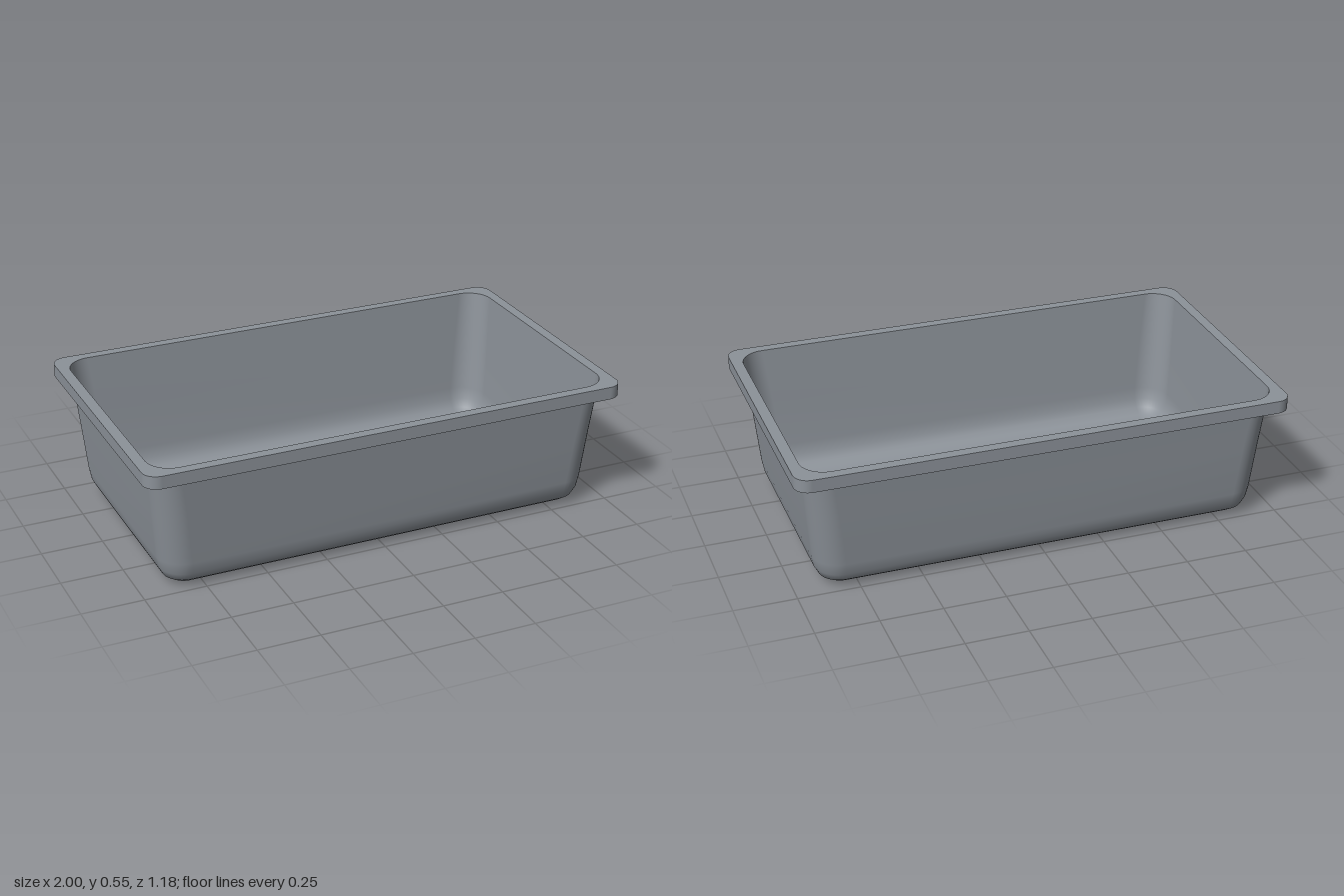
import * as THREE from 'three';

// Rounded-rectangle outline: half width, half depth, corner radius
function outline(hx, hz, r, steps = 10) {
  const pts = [];
  for (let q = 0; q < 4; q++) {
    const sx = q === 0 || q === 3 ? 1 : -1;
    const sz = q < 2 ? 1 : -1;
    for (let i = 0; i <= steps; i++) {
      const a = (q + i / steps) * Math.PI / 2;
      pts.push(new THREE.Vector2(sx * (hx - r) + r * Math.cos(a), sz * (hz - r) + r * Math.sin(a)));
    }
  }
  return pts;
}

// Smooth skin through stacked outlines [halfX, halfZ, radius, y], bottom to top
function loft(rings) {
  const pos = [], index = [];
  let n = 0;
  rings.forEach(([hx, hz, r, y], k) => {
    const pts = outline(hx, hz, r);
    n = pts.length;
    pts.forEach(p => pos.push(p.x, y, p.y));
    if (k === 0) return;
    for (let i = 0; i < n; i++) {
      const a = (k - 1) * n + i, b = (k - 1) * n + (i + 1) % n;
      index.push(a, a + n, b, b, a + n, b + n);
    }
  });
  const g = new THREE.BufferGeometry();
  g.setAttribute('position', new THREE.Float32BufferAttribute(pos, 3));
  g.setIndex(index);
  g.computeVertexNormals();
  return g;
}

export function createModel() {
  const group = new THREE.Group();
  const grey = new THREE.MeshStandardMaterial({ color: 0x8c9299, side: THREE.DoubleSide });
  grey.name = 'basin grey';
  const add = (name, geometry) => {
    const mesh = new THREE.Mesh(geometry, grey);
    mesh.name = name;
    group.add(mesh);
  };

  // Tapered thin wall with a rounded foot
  add('basinWall', loft([
    [0.79, 0.38, 0.015, 0],
    [0.825, 0.415, 0.03, 0.001],
    [0.86, 0.449, 0.06, 0.011],
    [0.889, 0.479, 0.085, 0.032],
    [0.907, 0.498, 0.103, 0.066],
    [0.916, 0.508, 0.11, 0.115],
    [0.935, 0.525, 0.108, 0.32],
    [0.956, 0.545, 0.1, 0.548],
  ]));

  // Flat floor with the drain hole
  const floor = new THREE.Shape(outline(0.79, 0.38, 0.015));
  floor.holes.push(new THREE.Path().absarc(0, 0, 0.058, 0, Math.PI * 2, true));
  add('basinFloor', new THREE.ShapeGeometry(floor, 24).rotateX(Math.PI / 2));

  // Flat rim around the opening
  const rim = new THREE.Shape(outline(1, 0.588, 0.06));
  rim.holes.push(new THREE.Path(outline(0.956, 0.545, 0.1).reverse()));
  add('rimTop', new THREE.ShapeGeometry(rim).rotateX(-Math.PI / 2).translate(0, 0.548, 0));

  // Turned-down lip, open underneath
  add('rimLip', loft([[1, 0.588, 0.06, 0.496], [1, 0.588, 0.06, 0.548]]));

  return group;
}
